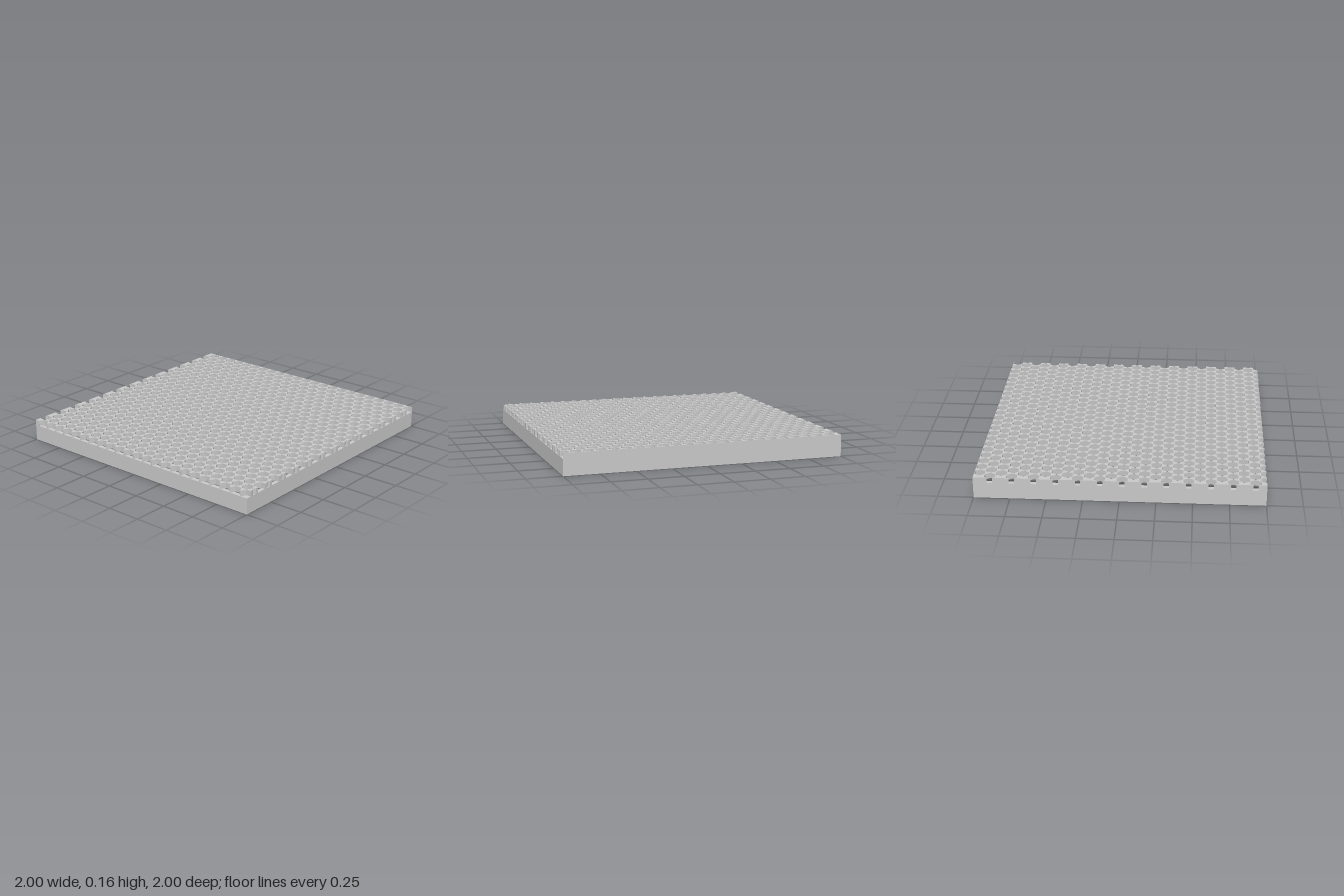
import * as THREE from 'three';
import { mergeGeometries } from 'three/addons/utils/BufferGeometryUtils.js';

const FRAME_H = 0.115, TOP = 0.155, RIM = 0.03;
const PITCH = 0.087;                        // spacing of the hexagonal openings
const ROW = PITCH * Math.sqrt(3) / 2;       // spacing of their rows
const R = 0.0415;                           // corner radius of an opening
const HALF = R * Math.sqrt(3) / 2;          // half depth of an opening
const WAIST = PITCH / 2 - R;                // half width of a web at its waist
const BASE = PITCH / 2 - R / 2;             // half width of a web at its ends

// Keep the part of a convex polygon where sign * p[axis] <= 1
function clip(poly, axis, sign) {
  const out = [];
  poly.forEach((p, i) => {
    const q = poly[(i + 1) % poly.length];
    const dp = 1 - sign * p[axis], dq = 1 - sign * q[axis];
    if (dp >= 0) out.push(p);
    if (dp * dq < 0) {
      const t = dp / (dp - dq);
      out.push([p[0] + (q[0] - p[0]) * t, p[1] + (q[1] - p[1]) * t]);
    }
  });
  return out;
}

// Upright prism over a plan outline of [x, z] points
function prism(outline, y, height, hole) {
  const toShape = pts => pts.map(([x, z]) => new THREE.Vector2(x, -z));
  const shape = new THREE.Shape(toShape(outline));
  if (hole) shape.holes.push(new THREE.Path(toShape(hole)));
  const g = new THREE.ExtrudeGeometry(shape, { depth: height, bevelEnabled: false });
  g.rotateX(-Math.PI / 2);
  g.translate(0, y, 0);
  return g;
}

// Counter-clockwise seen from above
const square = r => [[-r, r], [r, r], [r, -r], [-r, -r]];

export function createModel() {
  const group = new THREE.Group();
  const grey = new THREE.MeshStandardMaterial({ color: 0xc8c8c8 });
  grey.name = 'light grey';

  // Open square skirt
  const frame = new THREE.Mesh(prism(square(1), 0, FRAME_H, square(1 - RIM)), grey);
  frame.name = 'frame';
  group.add(frame);

  // Grille: what is left between staggered rows of hexagons
  const parts = [];
  const add = poly => {
    for (const axis of [0, 1]) for (const sign of [-1, 1]) poly = clip(poly, axis, sign);
    if (poly.length > 2) parts.push(prism(poly, FRAME_H, TOP - FRAME_H));
  };
  const firstZ = -0.998 + ROW / 2;
  for (let row = 0; row < 27; row++) {
    const z = firstZ + row * ROW;
    const odd = row % 2 === 1;
    const firstX = odd ? -0.969 : -0.9255;

    // thin bar behind the row
    add([[-1, z - HALF], [1, z - HALF], [1, z - ROW + HALF], [-1, z - ROW + HALF]]);

    // waisted webs between neighbouring openings, each in two halves
    for (let i = 0; i <= 24; i++) {
      const x = firstX + (i - 0.5) * PITCH;
      const solid = i === 0 && !odd;        // even rows run solid to the left edge
      for (const s of [-1, 1]) {
        add([
          [solid ? -1.1 : x - WAIST, z],
          [x + WAIST, z],
          [x + BASE, z + s * HALF],
          [solid ? -1.1 : x - BASE, z + s * HALF],
        ]);
      }
    }
  }

  const grille = new THREE.Mesh(mergeGeometries(parts), grey);
  grille.name = 'hexagonGrille';
  group.add(grille);
  return group;
}
